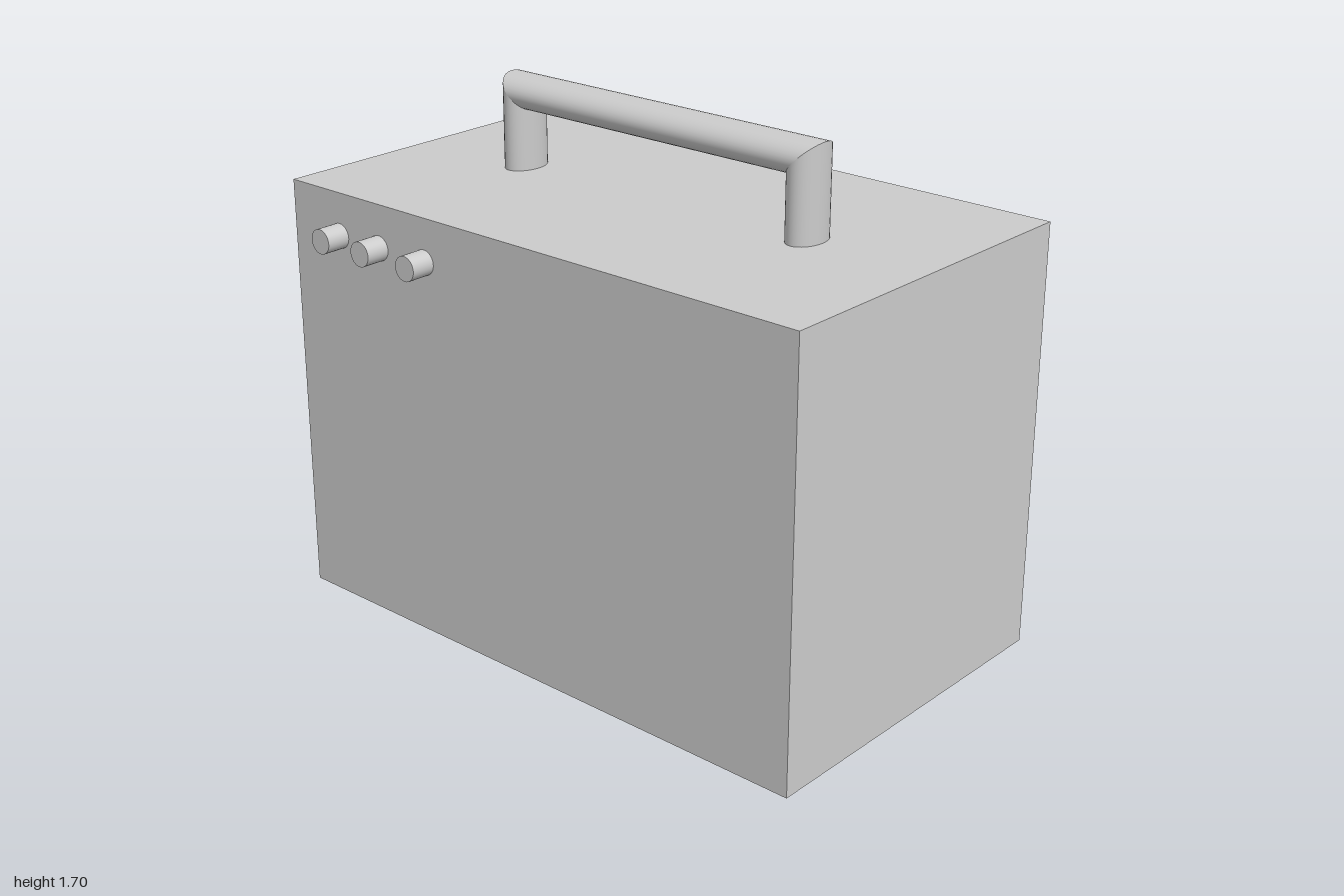
import * as THREE from 'three';

const material = new THREE.MeshStandardMaterial({ color: 0xcccccc });
const RIGHT = 0.64, LEFT = -0.56, HEIGHT = 1.4, DEPTH = 0.31;

function part(name, geometry, parent) {
  const mesh = new THREE.Mesh(geometry, material);
  mesh.name = name;
  parent.add(mesh);
  return mesh;
}

// Side panel as a grid whose inner points are pushed inwards; each cell is a fan with one flat normal
function recessedPanel() {
  const ys = [0, 0.35, 0.7, 1.05, HEIGHT], zs = [1, 0.5, -0.5, -1];
  const point = (i, j) => {
    const inner = (i === 1 || i === 2) && (j === 1 || j === 2);
    return new THREE.Vector3(RIGHT - (inner ? DEPTH : 0), ys[i], zs[j]);
  };
  const positions = [], normals = [];
  for (let i = 0; i < ys.length - 1; i++) {
    for (let j = 0; j < zs.length - 1; j++) {
      const q = [point(i, j), point(i, j + 1), point(i + 1, j + 1), point(i + 1, j)];
      const centre = new THREE.Vector3();
      q.forEach((p) => centre.addScaledVector(p, 0.25));
      const n = q[2].clone().sub(q[0]).cross(q[3].clone().sub(q[1])).normalize();
      for (let k = 0; k < 4; k++) {
        for (const p of [q[k], q[(k + 1) % 4], centre]) {
          positions.push(p.x, p.y, p.z);
          normals.push(n.x, n.y, n.z);
        }
      }
    }
  }
  const geometry = new THREE.BufferGeometry();
  geometry.setAttribute('position', new THREE.Float32BufferAttribute(positions, 3));
  geometry.setAttribute('normal', new THREE.Float32BufferAttribute(normals, 3));
  return geometry;
}

// Oval bar whose vertices are moved by a rule to form mitred ends
function ovalBar(along, move) {
  const geometry = new THREE.CylinderGeometry(1, 1, 2, 32, 1, true);
  if (along === 'z') geometry.rotateX(Math.PI / 2).scale(0.08, 0.055, 1);
  else geometry.scale(0.08, 1, 0.055);
  const pos = geometry.attributes.position;
  const v = new THREE.Vector3();
  for (let i = 0; i < pos.count; i++) {
    move(v.fromBufferAttribute(pos, i));
    pos.setXYZ(i, v.x, v.y, v.z);
  }
  return geometry;
}

export function createModel() {
  const model = new THREE.Group();
  model.name = 'box';

  // Body: plain box without its +x face, closed by the recessed panel
  const body = new THREE.Group();
  body.name = 'body';
  const shell = new THREE.BoxGeometry(RIGHT - LEFT, HEIGHT, 2);
  shell.setIndex(Array.from(shell.index.array).slice(6));
  shell.clearGroups();
  shell.translate((RIGHT + LEFT) / 2, HEIGHT / 2, 0);
  part('shell', shell, body);
  part('recessedPanel', recessedPanel(), body);
  model.add(body);

  // Carrying handle: two legs and a grip meeting in mitred corners
  const handle = new THREE.Group();
  handle.name = 'handle';
  const legZ = 0.565, gripY = 1.645;
  part('grip', ovalBar('z', (v) => {
    v.z = Math.sign(v.z) * (legZ + v.y);
    v.y += gripY;
  }), handle);
  for (const side of [1, -1]) {
    part(side > 0 ? 'frontLeg' : 'backLeg', ovalBar('y', (v) => {
      v.y = v.y > 0 ? gripY + side * v.z : HEIGHT;
      v.z += side * legZ;
    }), handle);
  }
  handle.position.x = 0.035;
  model.add(handle);

  // Buttons
  const buttonGeometry = new THREE.CylinderGeometry(0.04, 0.04, 0.08, 32).rotateZ(Math.PI / 2);
  [-0.79, -0.61, -0.41].forEach((z, i) => {
    part('button' + (i + 1), buttonGeometry, model).position.set(LEFT - 0.04, 1.26, z);
  });

  return model;
}
